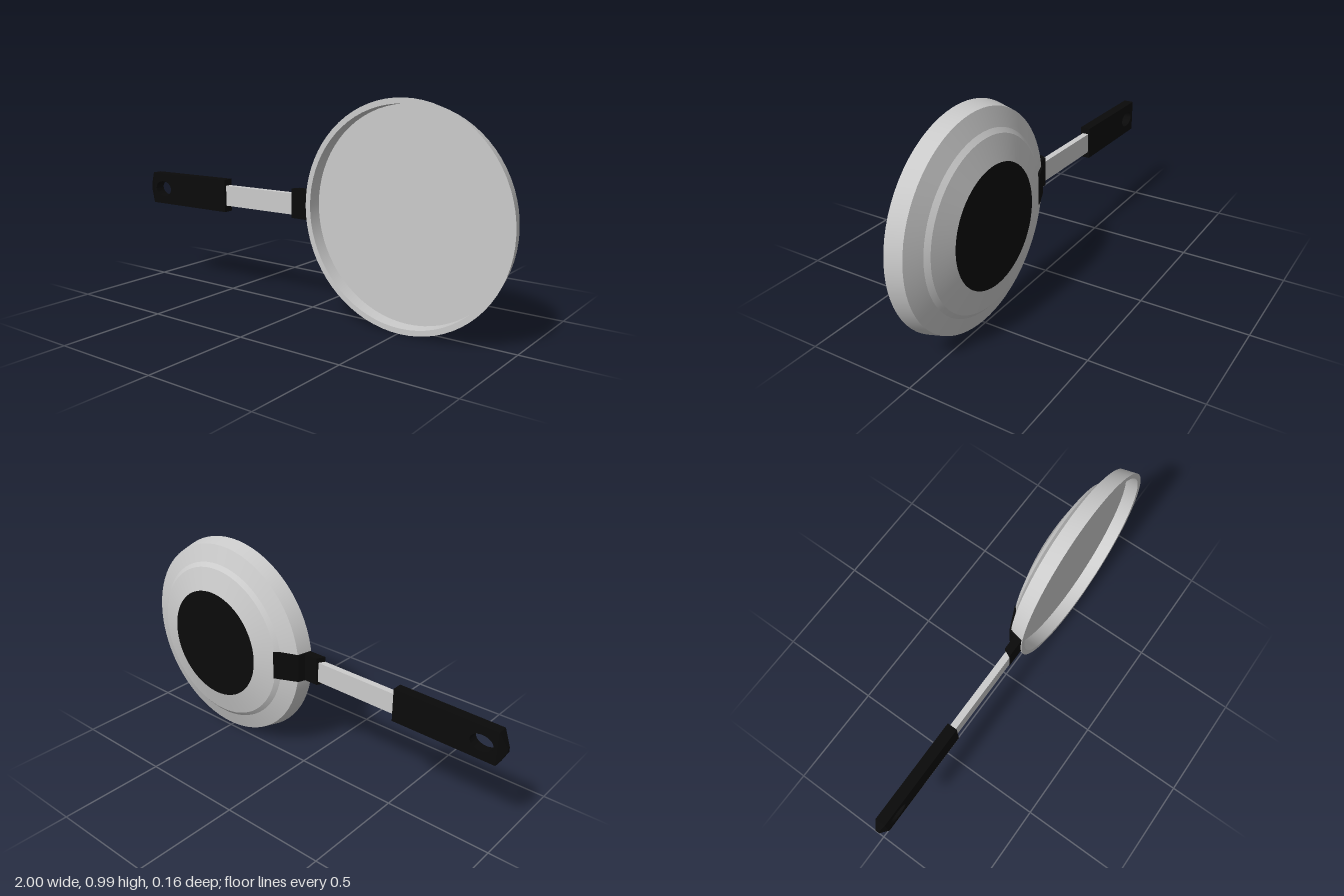
import * as THREE from 'three';
import { toCreasedNormals } from 'three/addons/utils/BufferGeometryUtils.js';

const steel = new THREE.MeshStandardMaterial({ color: 0xcccccc });
const black = new THREE.MeshStandardMaterial({ color: 0x0a0a0a });

const PAN_X = 0.5075, PAN_Y = 0.4925; // centre of the dish
const BASE_R = 0.267, BASE_Z = -0.078;

const polygon = (pts) => new THREE.Shape(pts.map(([x, y]) => new THREE.Vector2(x, y)));

const extrude = (shape, depth) =>
  new THREE.ExtrudeGeometry(shape, { depth, bevelEnabled: false, curveSegments: 16 });

export function createModel() {
  const group = new THREE.Group();
  const add = (name, geometry, material) => {
    const mesh = new THREE.Mesh(geometry, material);
    mesh.name = name;
    group.add(mesh);
    return mesh;
  };

  // Dish: outside from the base to the rim, then the inner wall and flat floor
  const profile = [
    [BASE_R, BASE_Z], [0.375, -0.047], [0.395, -0.03], [0.475, 0],
    [0.4925, 0.073], [0.468, 0.073], [0.466, 0.01], [0, 0.01],
  ].map(([r, h]) => new THREE.Vector2(r, h));
  const dish = toCreasedNormals(new THREE.LatheGeometry(profile, 72), 0.2);
  dish.rotateX(Math.PI / 2).translate(PAN_X, PAN_Y, 0);
  add('dish', dish, steel);

  // Black heating base on the underside
  const base = new THREE.CircleGeometry(BASE_R, 72);
  base.rotateY(Math.PI).translate(PAN_X, PAN_Y, BASE_Z);
  add('base', base, black);

  // Bracket: collar that wraps round the rim and along the underside
  const bracket = extrude(polygon([
    [-0.07, 0.068], [-0.05, 0.03], [0.018, 0.03], [0.03, -0.004],
    [0.14, -0.053], [0.14, -0.03], [0.036, 0.004], [0.022, 0.068],
  ]), 0.135);
  bracket.rotateX(Math.PI / 2).translate(0, 0.56, 0);
  add('bracket', bracket, black);

  // Metal shaft, tilted very slightly
  const shaft = new THREE.BoxGeometry(0.46, 0.097, 0.03);
  shaft.rotateZ(0.012).translate(-0.27, 0.486, 0.052);
  add('shaft', shaft, steel);

  // Grip with a hanging hole
  const gripShape = polygon([[-0.965, 0.4], [-0.47, 0.405], [-0.47, 0.562], [-0.965, 0.555]]);
  const hole = new THREE.Path();
  hole.absellipse(-0.895, 0.477, 0.053, 0.038, 0, Math.PI * 2, true);
  gripShape.holes.push(hole);
  const grip = extrude(gripShape, 0.048);
  grip.translate(0, 0, 0.03);
  add('grip', toCreasedNormals(grip, 0.6), black);

  // Tapered tip of the grip, thinner at its outer end
  const tip = extrude(polygon([[-0.965, 0.4], [-0.965, 0.555], [-1, 0.487], [-1, 0.467]]), 0.048);
  const pos = tip.attributes.position;
  for (let i = 0; i < pos.count; i++) {
    const squeeze = pos.getX(i) < -0.98 ? 0.3 : 1;
    pos.setZ(i, 0.054 + (pos.getZ(i) - 0.024) * squeeze);
  }
  tip.computeVertexNormals();
  add('gripTip', tip, black);

  return group;
}
